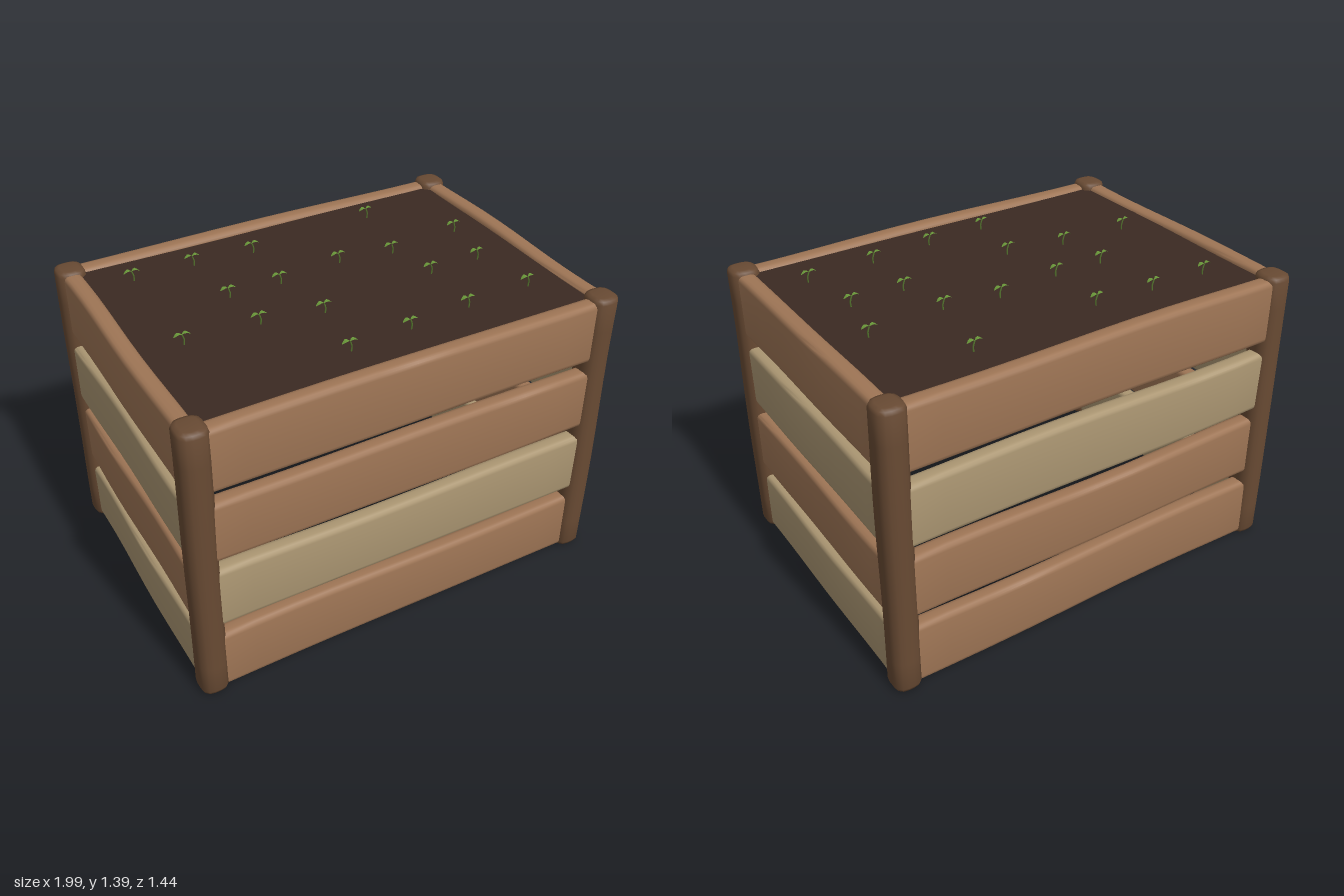
import * as THREE from 'three';
import { mergeVertices, toCreasedNormals } from 'three/addons/utils/BufferGeometryUtils.js';

const flat = (name, color, side = THREE.FrontSide) => {
  const m = new THREE.MeshStandardMaterial({ color, side });
  m.name = name;
  return m;
};

// Rounded timber running along z, slightly wavy like hand-cut wood
function timber(length, w, h, r, bevel, wave, seed) {
  const x = w / 2 - bevel, y = h / 2 - bevel;
  const s = new THREE.Shape();
  s.moveTo(-x + r, -y);
  s.lineTo(x - r, -y);
  s.quadraticCurveTo(x, -y, x, -y + r);
  s.lineTo(x, y - r);
  s.quadraticCurveTo(x, y, x - r, y);
  s.lineTo(-x + r, y);
  s.quadraticCurveTo(-x, y, -x, y - r);
  s.lineTo(-x, -y + r);
  s.quadraticCurveTo(-x, -y, -x + r, -y);
  const depth = length - 2 * bevel;
  let g = new THREE.ExtrudeGeometry(s, {
    depth, steps: 10, curveSegments: 3, bevelEnabled: bevel > 0,
    bevelSize: bevel, bevelThickness: bevel, bevelSegments: 2,
  });
  g.translate(0, 0, -depth / 2);
  g.deleteAttribute('uv');
  g.deleteAttribute('normal');
  g = mergeVertices(g, 1e-4);
  const p = g.attributes.position;
  for (let i = 0; i < p.count; i++) {
    const t = p.getZ(i) / length * Math.PI * 2;
    p.setX(i, p.getX(i) + wave * 0.6 * Math.sin(t * 1.3 + seed * 2.1));
    p.setY(i, p.getY(i) + wave * Math.sin(t + seed * 1.7 + Math.sign(p.getY(i)) * 0.6));
  }
  return toCreasedNormals(g, 0.9);
}

export function createModel() {
  const brown = flat('brown wood', 0x9e7555);
  const tan = flat('pale wood', 0xab9672);
  const dark = flat('dark wood', 0x684a33);
  const earth = flat('earth', 0x3b2a22, THREE.DoubleSide);
  const green = flat('leaf green', 0x6b9a3a, THREE.DoubleSide);
  const stemGreen = flat('stem green', 0x56752f);

  const model = new THREE.Group();
  model.name = 'planterCrate';
  const add = (parent, name, geo, mat, x, y, z) => {
    const m = new THREE.Mesh(geo, mat);
    m.name = name;
    m.position.set(x, y, z);
    parent.add(m);
    return m;
  };

  // Corner posts
  let seed = 1;
  for (const sx of [-1, 1]) for (const sz of [-1, 1]) {
    const g = timber(1.365, 0.126, 0.132, 0.03, 0.022, 0.003, seed++);
    g.rotateX(-Math.PI / 2);
    add(model, 'cornerPost', g, dark, sx * 0.932, 0.688, sz * 0.65);
  }

  // Slats on each wall, listed from the bottom row up
  const walls = [
    { name: 'frontSlat', long: true, side: 1, mats: [brown, tan, brown, brown] },
    { name: 'backSlat', long: true, side: -1, mats: [brown, brown, tan, brown] },
    { name: 'leftSlat', long: false, side: 1, mats: [tan, brown, tan, brown] },
    { name: 'rightSlat', long: false, side: -1, mats: [tan, brown, tan, brown] },
  ];
  for (const { name, long, side, mats } of walls) {
    mats.forEach((mat, row) => {
      const g = timber(long ? 1.84 : 1.28, 0.078, 0.294, 0.025, 0, 0.005, seed++);
      if (long) g.rotateY(Math.PI / 2);
      add(model, name, g, mat, long ? 0 : side * 0.938, 0.164 + row * 0.349, long ? side * 0.659 : 0);
    });
  }

  // Soil sheet just below the rim
  const soil = new THREE.PlaneGeometry(1.82, 1.26).rotateX(-Math.PI / 2);
  add(model, 'soil', soil, earth, 0, 1.34, 0);

  // Seedlings: a bent stem with two drooping leaves
  const stem = new THREE.TubeGeometry(new THREE.CatmullRomCurve3([
    new THREE.Vector3(0.006, 0, 0), new THREE.Vector3(0.008, 0.025, 0), new THREE.Vector3(0, 0.05, 0),
  ]), 4, 0.0035, 5);
  const leaf = new THREE.PlaneGeometry(0.036, 0.022, 4, 2).rotateX(-Math.PI / 2).translate(0.018, 0, 0);
  const lp = leaf.attributes.position;
  for (let i = 0; i < lp.count; i++) {
    const u = lp.getX(i) / 0.036;
    lp.setZ(i, lp.getZ(i) * (0.15 + 0.85 * Math.sin(Math.PI * u)));
    lp.setY(i, 0.008 * Math.sin(Math.PI * u * 1.2));
  }
  leaf.computeVertexNormals();
  const spots = [
    [-0.72, -0.45], [-0.44, -0.45], [-0.16, -0.43], [0.46, -0.48],
    [-0.42, -0.12], [-0.18, -0.12], [0.13, -0.16], [0.38, -0.12], [0.74, -0.16],
    [-0.73, 0.12], [-0.4, 0.13], [-0.13, 0.18], [0.43, 0.12], [0.68, 0.11],
    [-0.18, 0.48], [0.11, 0.46], [0.41, 0.43], [0.73, 0.41],
  ];
  for (const [x, z] of spots) {
    const s = new THREE.Group();
    s.name = 'seedling';
    s.position.set(x, 1.338, z);
    add(s, 'stem', stem, stemGreen, 0, 0, 0);
    add(s, 'leaf', leaf, green, 0, 0.05, 0);
    add(s, 'leaf', leaf, green, 0, 0.05, 0).rotation.y = Math.PI;
    model.add(s);
  }
  return model;
}
